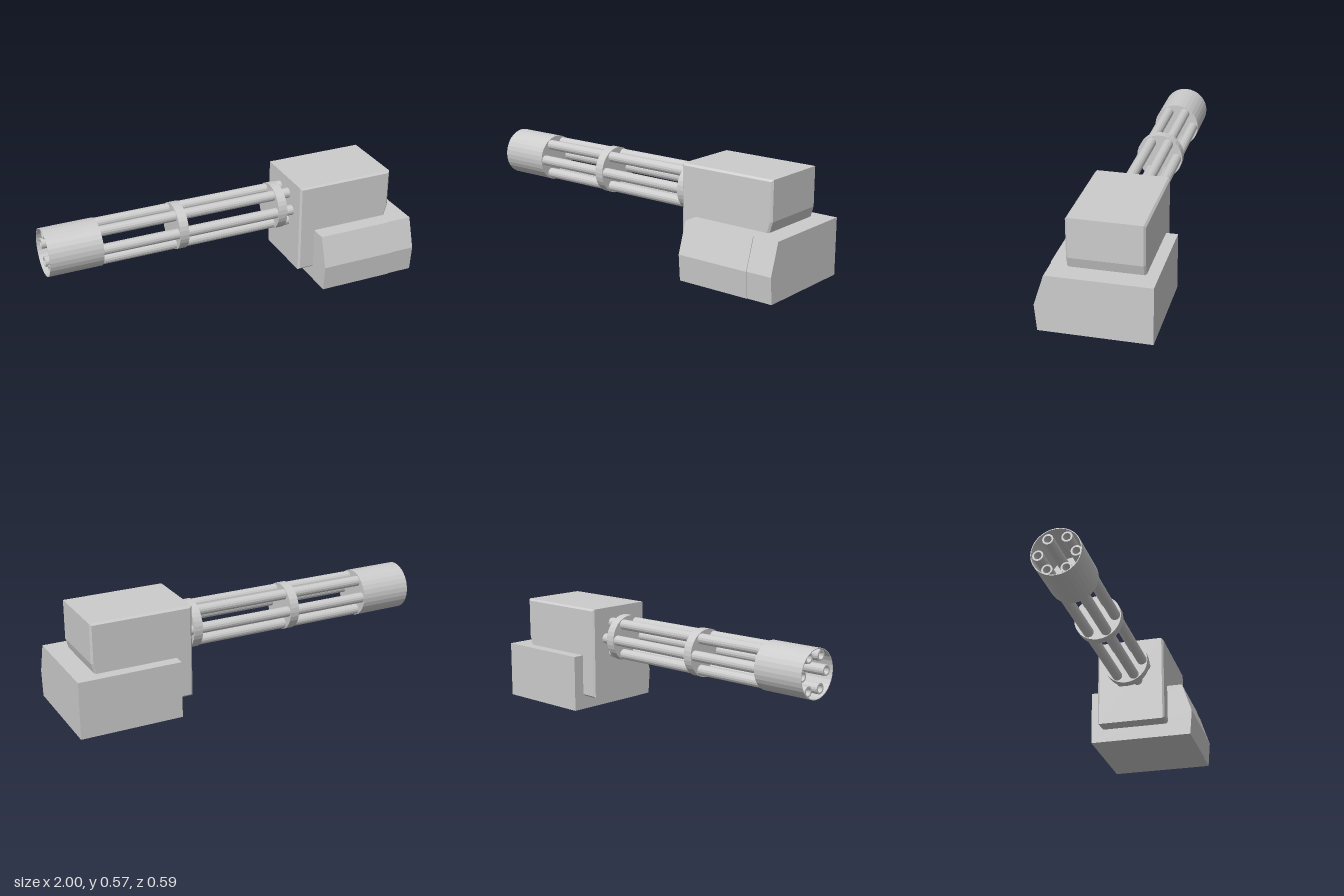
import * as THREE from 'three';

const AXIS_Y = 0.4, AXIS_Z = -0.043;

export function createModel() {
  const model = new THREE.Group();
  model.name = 'rotaryGun';
  const grey = new THREE.MeshStandardMaterial({ color: 0xcccccc });
  grey.name = 'gunmetalGrey';

  function add(name, geometry, x = 0, y = 0, z = 0, parent = model) {
    const mesh = new THREE.Mesh(geometry, grey);
    mesh.name = name;
    mesh.position.set(x, y, z);
    parent.add(mesh);
    return mesh;
  }

  // Faceted body of revolution whose axis points towards -x
  function turned(points, sides) {
    const lathe = new THREE.LatheGeometry(points.map(p => new THREE.Vector2(...p)), sides);
    const geometry = lathe.rotateZ(Math.PI / 2).toNonIndexed();
    geometry.computeVertexNormals();
    return geometry;
  }

  // Straight extrusion with an optional chamfer on both ends
  function prism(points, depth, bevel = 0) {
    return new THREE.ExtrudeGeometry(new THREE.Shape(points.map(p => new THREE.Vector2(...p))), {
      depth: depth - 2 * bevel, bevelEnabled: bevel > 0,
      bevelSize: bevel, bevelOffset: -bevel, bevelThickness: bevel, bevelSegments: 1
    }).translate(0, 0, bevel);
  }

  // Housing: chamfered block with a cut-back lower rear edge
  add('housing', prism([
    [0.36, 0.075], [0.83, 0.075], [0.888, 0.3], [0.905, 0.36], [0.905, 0.57], [0.36, 0.57]
  ], 0.387, 0.01), 0, 0, -0.232);

  // Ammunition box, profile in (-z, y) swept along x; front panel sits slightly proud
  const boxProfile = out => [
    [-0.278 - out, 0], [-0.29 - out, 0.14], [-0.237 - out, 0.305], [0.293, 0.305], [0.293, 0]
  ];
  add('ammoBoxRear', prism(boxProfile(0), 0.145).rotateY(Math.PI / 2), 0.855);
  add('ammoBoxFront', prism(boxProfile(0.004), 0.41).rotateY(Math.PI / 2), 0.45);

  // Barrel cluster
  const cluster = new THREE.Group();
  cluster.name = 'barrelCluster';
  cluster.position.set(0, AXIS_Y, AXIS_Z);
  model.add(cluster);

  const barrelLength = 1.385;
  const barrel = turned([
    [0.028, 0], [0.028, barrelLength], [0.019, barrelLength],
    [0.019, barrelLength - 0.2], [0, barrelLength - 0.2]
  ], 16);
  for (let i = 0; i < 6; i++) {
    const a = i * Math.PI / 3;
    add('barrel' + (i + 1), barrel, 0.4, 0.095 * Math.sin(a), 0.095 * Math.cos(a), cluster);
  }

  // Clamp discs holding the barrels
  const clamp = turned([[0, 0], [0.127, 0], [0.127, 0.05], [0, 0.05]], 32);
  [-0.25, 0.32].forEach((x, i) => add('clampDisc' + (i + 1), clamp, x, 0, 0, cluster));

  // Open muzzle shroud with a closed rear wall
  add('muzzleShroud', turned([
    [0, 0], [0.127, 0], [0.127, 0.285], [0.123, 0.285], [0.123, 0.01], [0, 0.01]
  ], 32), -0.715, 0, 0, cluster);

  return model;
}
